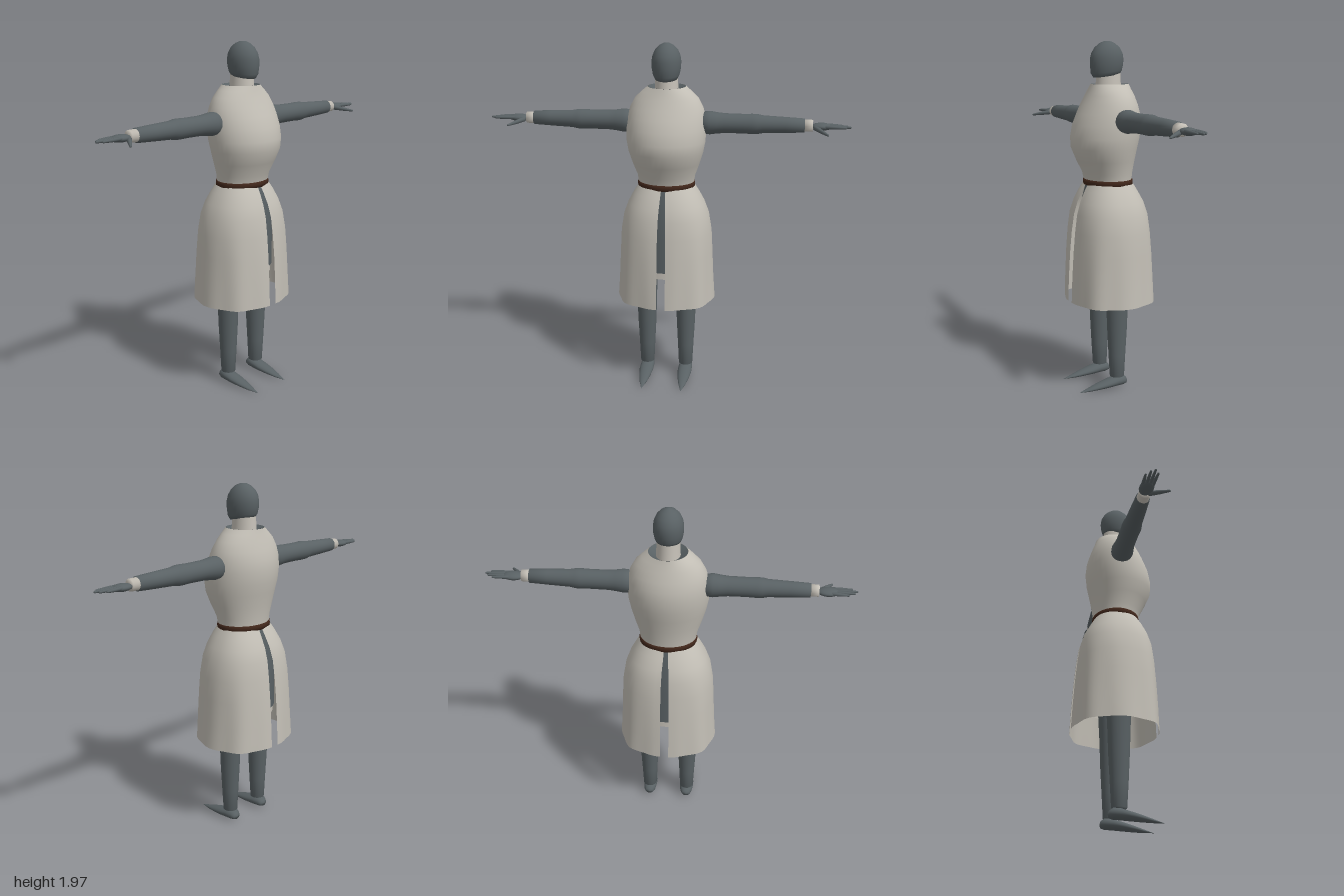
import * as THREE from 'three';

const mat = (name, color, side = THREE.FrontSide) => {
  const m = new THREE.MeshStandardMaterial({ color, side });
  m.name = name;
  return m;
};

// Smooth skin through rings listed bottom-up: [y, half width, front z, back z, forward tilt]
function loft(rings, n = 32) {
  const pos = [], idx = [];
  rings.forEach(([y, rx, zf, zb, tilt = 0]) => {
    for (let j = 0; j < n; j++) {
      const a = (j / n) * Math.PI * 2;
      const z = (zf + zb) / 2 + ((zf - zb) / 2) * Math.cos(a);
      pos.push(rx * Math.sin(a), y - tilt * z, z);
    }
  });
  for (let i = 0; i < rings.length - 1; i++) {
    for (let j = 0; j < n; j++) {
      const a = i * n + j, b = i * n + (j + 1) % n;
      idx.push(a, b, b + n, a, b + n, a + n);
    }
  }
  return toGeometry(pos, idx);
}

function toGeometry(pos, idx) {
  const g = new THREE.BufferGeometry();
  g.setAttribute('position', new THREE.Float32BufferAttribute(pos, 3));
  g.setIndex(idx);
  g.computeVertexNormals();
  return g;
}

// One half of the split skirt, s = +1 left, -1 right, with folds deepening to the hem
function skirtHalf(s, rings, n = 28) {
  const pos = [], idx = [];
  rings.forEach(([y, rx, zf, zb, slit], i) => {
    const depth = 0.022 * (i < 4 ? 1 - i / 4 : 0);
    for (let j = 0; j <= n; j++) {
      const a = (j / n) * Math.PI;
      const fold = 1 + depth * Math.cos(a * 8) - depth;
      const sx = Math.pow(Math.max(Math.sin(a), 0), 0.9);
      const c = Math.cos(a);
      const sz = Math.sign(c) * Math.pow(Math.abs(c), 0.9);
      pos.push(s * (slit + (rx - slit) * sx * fold), y, sz * (c > 0 ? zf : -zb) * fold);
    }
  });
  const w = n + 1;
  for (let i = 0; i < rings.length - 1; i++) {
    for (let j = 0; j < n; j++) {
      const a = i * w + j, b = a + 1;
      if (s > 0) idx.push(a, b, b + w, a, b + w, a + w);
      else idx.push(a, b + w, b, a, a + w, b + w);
    }
  }
  return toGeometry(pos, idx);
}

export function createModel() {
  const model = new THREE.Group();
  const cloth = mat('pale cloth', 0xc2beb5, THREE.DoubleSide);
  const mail = mat('grey mail', 0x596164, THREE.DoubleSide);
  const linen = mat('linen', 0xc6c1b8, THREE.DoubleSide);
  const leather = mat('brown leather', 0x41271b);

  const add = (name, geometry, material, parent = model) => {
    const m = new THREE.Mesh(geometry, material);
    m.name = name;
    parent.add(m);
    return m;
  };

  // Tapered bone between two points with a rounded end
  const taper = (name, p, q, r0, r1, material, parent) => {
    const a = new THREE.Vector3(...p), b = new THREE.Vector3(...q);
    const len = a.distanceTo(b);
    const pts = [[0, 0], [r0, 0], [(r0 + r1) / 2 * 1.1, len * 0.5], [r1, len - r1], [r1 * 0.7, len - r1 * 0.3], [0, len]]
      .map(([x, y]) => new THREE.Vector2(x, y));
    const m = add(name, new THREE.LatheGeometry(pts, 10), material, parent);
    m.position.copy(a);
    m.quaternion.setFromUnitVectors(new THREE.Vector3(0, 1, 0), b.sub(a).normalize());
  };

  // Head and neck
  add('hoodedHead', loft([
    [1.79, 0, 0.015, 0.015, 0.15], [1.79, 0.062, 0.088, -0.066, 0.15], [1.81, 0.072, 0.102, -0.076, 0.1],
    [1.845, 0.079, 0.106, -0.083, 0.03], [1.88, 0.08, 0.106, -0.085], [1.91, 0.075, 0.098, -0.08],
    [1.94, 0.062, 0.08, -0.064], [1.963, 0.04, 0.053, -0.037], [1.974, 0.018, 0.028, -0.012], [1.976, 0, 0.01, 0.01],
  ]), mail);
  add('neck', loft([[1.7, 0.066, 0.076, -0.074], [1.75, 0.063, 0.072, -0.07], [1.82, 0.06, 0.068, -0.066]]), linen);

  // Upper tabard with a recessed collar
  add('tabardBody', loft([
    [1.19, 0.155, 0.132, -0.123], [1.25, 0.162, 0.145, -0.127], [1.32, 0.187, 0.18, -0.138], [1.39, 0.208, 0.21, -0.152],
    [1.45, 0.219, 0.213, -0.165], [1.52, 0.221, 0.198, -0.172], [1.58, 0.215, 0.172, -0.166], [1.63, 0.202, 0.148, -0.152],
    [1.68, 0.175, 0.124, -0.135], [1.715, 0.138, 0.11, -0.122], [1.742, 0.105, 0.1, -0.114],
  ], 40), cloth);
  add('collarLining', loft([[1.742, 0.104, 0.099, -0.113], [1.715, 0.06, 0.07, -0.07]]), mail);

  // Belt
  add('belt', loft([
    [1.183, 0.15, 0.125, -0.115], [1.183, 0.16, 0.139, -0.129], [1.2, 0.162, 0.141, -0.131],
    [1.215, 0.16, 0.139, -0.129], [1.215, 0.15, 0.125, -0.115],
  ], 40), leather);

  // Split skirt: [y, half width, front z, back z, half slit]
  const skirt = [
    [0.515, 0.284, 0.245, -0.245, 0.024], [0.65, 0.274, 0.24, -0.238, 0.024], [0.8, 0.266, 0.231, -0.228, 0.024],
    [0.92, 0.259, 0.22, -0.216, 0.023], [1.02, 0.242, 0.206, -0.202, 0.021], [1.09, 0.216, 0.185, -0.18, 0.018],
    [1.15, 0.184, 0.157, -0.148, 0.014], [1.19, 0.158, 0.134, -0.125, 0.012],
  ];
  for (const s of [1, -1]) add(s > 0 ? 'leftSkirt' : 'rightSkirt', skirtHalf(s, skirt), cloth);

  // Mail shirt and padded hem under the skirt
  add('mailShirt', loft([
    [0.7, 0.2, 0.15, -0.15], [0.9, 0.195, 0.155, -0.15], [1.08, 0.175, 0.15, -0.14], [1.19, 0.148, 0.122, -0.114],
  ]), mail);
  add('paddedHem', loft([[0.66, 0.192, 0.143, -0.143], [0.75, 0.19, 0.143, -0.143]]), linen);

  // Legs and pointed shoes
  for (const s of [1, -1]) {
    const leg = new THREE.Group();
    leg.name = s > 0 ? 'leftLeg' : 'rightLeg';
    leg.position.x = s * 0.116;
    model.add(leg);
    add('legMail', loft([
      [0.07, 0, 0.002, 0.002], [0.07, 0.041, 0.044, -0.04], [0.2, 0.047, 0.052, -0.047], [0.36, 0.055, 0.06, -0.056],
      [0.52, 0.059, 0.066, -0.062], [0.7, 0.068, 0.075, -0.072], [0.98, 0.08, 0.085, -0.085],
    ], 20), mail, leg);
    // Sections run heel to toe: [z, half width, -bottom, -top]
    const shoe = add('shoe', loft([
      [-0.058, 0, -0.035, -0.035], [-0.052, 0.024, -0.016, -0.055], [-0.03, 0.036, -0.01, -0.071], [0.01, 0.041, -0.009, -0.069],
      [0.06, 0.041, -0.007, -0.056], [0.12, 0.033, -0.004, -0.04], [0.18, 0.02, -0.002, -0.022], [0.243, 0, -0.003, -0.003],
    ], 16), mail, leg);
    shoe.rotation.x = Math.PI / 2;
  }

  // Arms, cuffs and open hands
  const sleeve = [[0, 0.17], [0.045, 0.18], [0.061, 0.21], [0.064, 0.24], [0.058, 0.28], [0.054, 0.32], [0.053, 0.42],
    [0.055, 0.47], [0.054, 0.5], [0.048, 0.53], [0.043, 0.65], [0.038, 0.752], [0, 0.752]];
  const cuff = [[0, 0.75], [0.033, 0.75], [0.032, 0.795], [0, 0.795]];
  const lathe = (pts) => new THREE.LatheGeometry(pts.map(([r, x]) => new THREE.Vector2(r, x)), 24);
  for (const s of [1, -1]) {
    const arm = new THREE.Group();
    arm.name = s > 0 ? 'leftArm' : 'rightArm';
    arm.position.y = 1.548;
    model.add(arm);
    add('sleeve', lathe(sleeve), mail, arm).rotation.z = -s * Math.PI / 2;
    add('cuff', lathe(cuff), linen, arm).rotation.z = -s * Math.PI / 2;
    const palm = add('palm', new THREE.SphereGeometry(1, 18, 12), mail, arm);
    palm.scale.set(0.058, 0.02, 0.039);
    palm.position.set(s * 0.843, -0.003, -0.002);
    [[-0.029, 0.955], [-0.01, 0.985], [0.009, 1.0], [0.027, 0.975]].forEach(([z, tip], i) => {
      taper('finger' + (i + 1), [s * 0.86, 0, z * 0.9], [s * tip, -0.002, z * 1.1], 0.0105, 0.006, mail, arm);
    });
    taper('thumb', [s * 0.808, -0.008, 0.02], [s * 0.876, -0.026, 0.117], 0.014, 0.006, mail, arm);
  }
  return model;
}
